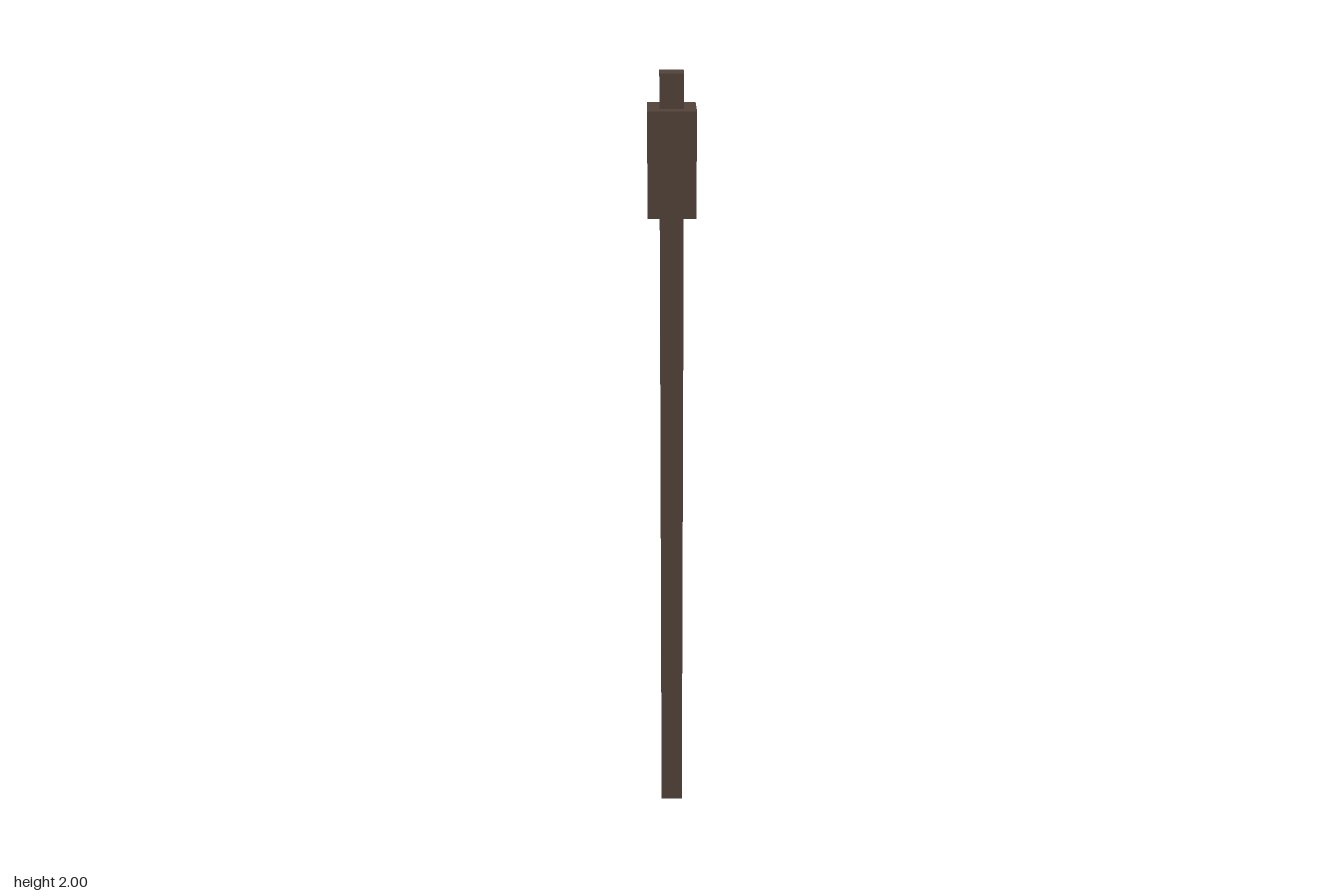
import * as THREE from 'three';

export function createModel() {
  const model = new THREE.Group();
  const wood = new THREE.MeshStandardMaterial({ color: 0x54443a, flatShading: true });
  wood.name = 'darkWood';

  // Square bar with its corners on the x and z axes
  const addBar = (name, radius, bottom, top) => {
    const mesh = new THREE.Mesh(new THREE.CylinderGeometry(radius, radius, top - bottom, 4), wood);
    mesh.name = name;
    mesh.position.y = (bottom + top) / 2;
    model.add(mesh);
  };

  // Long shaft running through the thicker block near the top
  addBar('shaft', 0.04, 0, 2);
  addBar('headBlock', 0.081, 1.67, 1.92);

  return model;
}
